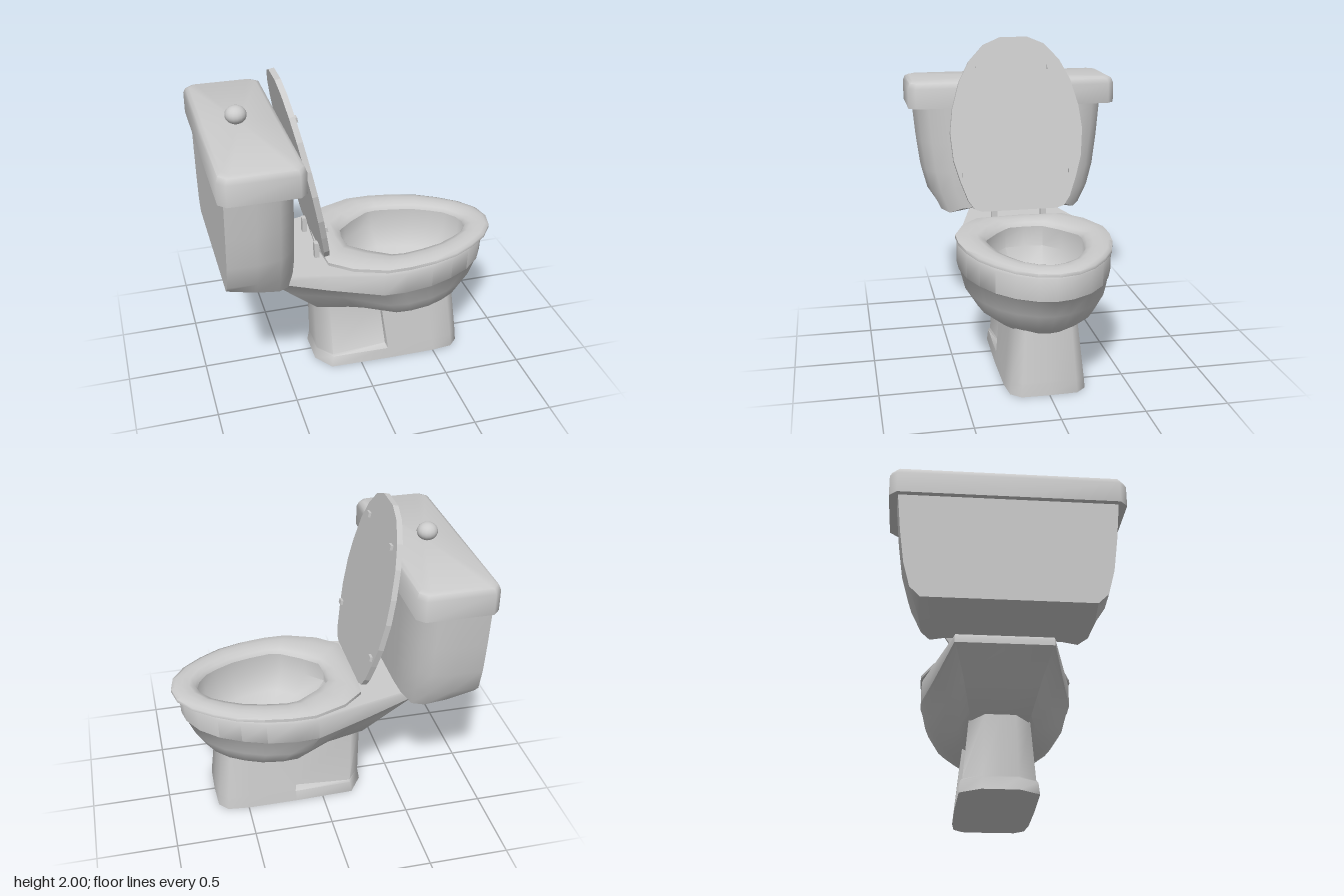
import * as THREE from 'three';
import { toCreasedNormals } from 'three/addons/utils/BufferGeometryUtils.js';

const material = new THREE.MeshStandardMaterial({ color: 0xcccccc });

// Full ring (counter-clockwise from above) from half an outline of [x, z]; first and last have z = 0
function ring(half, y) {
  const height = typeof y === 'function' ? y : () => y;
  const pts = half.map(([x, z]) => [x, height(x), -z]);
  const mirrored = half.slice(1, -1).reverse().map(([x, z]) => [x, height(x), z]);
  return [...pts, ...mirrored];
}

// Skin a stack of equal rings; caps are fans to the ring centre
function loft(rings, { caps = true, crease = 0.7 } = {}) {
  const n = rings[0].length;
  const pos = rings.flat(2);
  const index = [];
  for (let r = 0; r < rings.length - 1; r++) {
    for (let i = 0; i < n; i++) {
      const a = r * n + i, b = r * n + (i + 1) % n;
      index.push(a, b, b + n, a, b + n, a + n);
    }
  }
  const cap = (r, flip) => {
    const c = pos.length / 3;
    for (let k = 0; k < 3; k++) pos.push(rings[r].reduce((s, p) => s + p[k], 0) / n);
    for (let i = 0; i < n; i++) {
      const a = r * n + i, b = r * n + (i + 1) % n;
      index.push(c, ...(flip ? [b, a] : [a, b]));
    }
  };
  if (caps) {
    cap(0, true);
    cap(rings.length - 1, false);
  }
  const geo = new THREE.BufferGeometry();
  geo.setAttribute('position', new THREE.Float32BufferAttribute(pos, 3));
  geo.setIndex(index);
  return toCreasedNormals(geo, crease);
}

// Remap an outline to a new x range and width
function fit(half, xMin, xMax, zScale) {
  const xs = half.map(p => p[0]);
  const lo = Math.min(...xs), hi = Math.max(...xs);
  return half.map(([x, z]) => [xMin + (x - lo) / (hi - lo) * (xMax - xMin), z * zScale]);
}

const mix = (a, b, t) => a.map(([x, z], i) => [x + (b[i][0] - x) * t, z + (b[i][1] - z) * t]);
const ramp = (x0, y0, x1, y1) => x => y0 + (y1 - y0) * THREE.MathUtils.clamp((x - x0) / (x1 - x0), 0, 1);

function part(parent, name, geo, x = 0, y = 0, z = 0) {
  const mesh = new THREE.Mesh(geo, material);
  mesh.name = name;
  mesh.position.set(x, y, z);
  parent.add(mesh);
}

// Half outlines, front to back
const RIM = [[0.88, 0], [0.86, 0.1], [0.79, 0.22], [0.68, 0.32], [0.55, 0.39], [0.4, 0.445],
  [0.22, 0.47], [0.08, 0.465], [-0.25, 0.38], [-0.6, 0.29], [-0.6, 0]];
const SEAT = [[0.925, 0], [0.9, 0.12], [0.82, 0.23], [0.7, 0.325], [0.57, 0.4], [0.41, 0.45],
  [0.25, 0.475], [0.1, 0.475], [-0.1, 0.4], [-0.23, 0.29], [-0.25, 0]];
const HOLE = [[0.76, 0], [0.74, 0.07], [0.68, 0.15], [0.6, 0.2], [0.5, 0.25], [0.38, 0.28],
  [0.25, 0.3], [0.18, 0.29], [0.05, 0.2], [-0.05, 0.11], [-0.06, 0]];

function makeBowl() {
  const seam = ramp(-0.6, 0.76, 0, 0.66);
  // Underside ring, drawn in toward the rear
  const under = (xMin, xMax, zScale, rear, y) =>
    ring(fit(RIM, xMin, xMax, zScale).map(([x, z], i) => [x, i > 7 ? z * rear : z]), y);
  return loft([
    under(0.1, 0.58, 0.42, 1, 0.35),
    under(-0.12, 0.665, 0.6, 0.9, ramp(-0.12, 0.415, 0.25, 0.385)),
    under(-0.28, 0.75, 0.78, 0.8, ramp(-0.28, 0.455, 0.3, 0.445)),
    under(-0.45, 0.815, 0.93, 0.85, ramp(-0.45, 0.615, 0.2, 0.55)),
    under(-0.59, 0.862, 0.985, 0.98, x => seam(x) - 0.004),
    // rim band and shelf
    ring(fit(RIM, -0.6, 0.872, 1), x => seam(x) + 0.004),
    ring(RIM, 0.8),
    ring(fit(RIM, -0.595, 0.87, 0.985), 0.815),
    // wide basin, its lip hidden below the seat
    ring(fit(HOLE, -0.1, 0.79, 1.12), 0.815),
    ring(fit(HOLE, -0.1, 0.78, 1.12), 0.68),
    ring(fit(HOLE, 0, 0.69, 0.92), 0.55),
    ring(fit(HOLE, 0.13, 0.55, 0.5), 0.47),
  ], { crease: 0.75 });
}

function makePedestal() {
  const foot = [[0.695, 0], [0.69, 0.17], [0.635, 0.23], [0.5, 0.245], [0.18, 0.245], [0.175, 0.245],
    [-0.2, 0.235], [-0.285, 0.11], [-0.285, 0]];
  // Shallow side recess, deepest at its front step and fading toward the rear
  const recess = half => half.map(([x, z], i) => [x, i === 5 ? z * 0.78 : i === 6 ? z * 0.95 : z]);
  const upper = fit(foot, -0.28, 0.655, 0.82).map(([x, z], i) => [i === 4 || i === 5 ? 0.14 : x, z]);
  return loft([
    ring(foot, 0),
    ring(fit(foot, -0.272, 0.69, 0.97), 0.075),
    ring(recess(fit(foot, -0.272, 0.689, 0.965)), 0.085),
    ring(recess(upper), ramp(-0.28, 0.455, 0.14, 0.42)),
  ], { crease: 1.15 });
}

function makeTank() {
  const plan = [[-0.455, 0], [-0.457, 0.3], [-0.468, 0.45], [-0.515, 0.56], [-0.58, 0.625], [-0.72, 0.648],
    [-0.895, 0.64], [-0.895, 0]];
  const base = x => (x < -0.515 ? ramp(-0.895, 0.89, -0.515, 0.812)(x) : ramp(-0.515, 0.812, -0.455, 0.86)(x));
  const level = (y, w) => ring(fit(plan, -0.895, -0.455, w), y);
  return loft([level(base, 0.77), level(0.95, 0.865), level(1.1, 0.925), level(1.3, 0.965), level(1.55, 1)],
    { crease: 0.9 });
}

function makeTankLid() {
  const layer = (y, inset) => {
    const f = -0.432 - inset, b = -0.927 + inset, w = 0.692 - inset, c = 0.045;
    return ring([[f, 0], [f, w - c], [f - c, w], [b + c, w], [b, w - c], [b, 0]], y);
  };
  return loft([layer(1.545, 0), layer(1.675, 0), layer(1.708, 0.012), layer(1.72, 0.035)], { crease: 0.9 });
}

// Rounded seat: section runs from the inner lip under, around the rim and back over the top
function makeSeat() {
  const section = [[1, 0.825], [0, 0.828], [0, 0.848], [0.15, 0.858], [0.4, 0.866], [0.7, 0.862], [0.92, 0.85], [1, 0.825]];
  return loft(section.map(([t, y]) => ring(mix(SEAT, HOLE, t), y)), { caps: false, crease: 1.2 });
}

function makeCover() {
  const cover = new THREE.Group();
  cover.name = 'raisedSeatCover';
  const half = [[0.25, 0], [0.3, 0.017], [0.34, 0.075], [0.385, 0.2], [0.425, 0.34], [0.44, 0.52], [0.42, 0.675],
    [0.37, 0.846], [0.3, 0.978], [0.2, 1.084], [0.09, 1.13]];
  const outline = [...half, ...half.map(([u, v]) => [-u, v]).reverse()];
  const shape = new THREE.Shape(outline.map(([u, v]) => new THREE.Vector2(u, v)));
  const panel = new THREE.ExtrudeGeometry(shape, { depth: 0.035, bevelEnabled: false });
  part(cover, 'coverPanel', panel.rotateY(Math.PI / 2));
  // Rubber stops on the inner face
  for (const side of [-1, 1]) {
    for (const [v, z] of [[0.93, 0.235], [0.245, 0.355]]) {
      part(cover, 'coverBumper', new THREE.BoxGeometry(0.024, 0.03, 0.04), 0.04, v, side * z);
    }
  }
  cover.position.set(-0.255, 0.885, 0);
  cover.rotation.z = 0.2;
  return cover;
}

export function createModel() {
  const model = new THREE.Group();
  model.name = 'toilet';
  part(model, 'pedestal', makePedestal());
  part(model, 'bowl', makeBowl());
  part(model, 'seat', makeSeat());
  part(model, 'tank', makeTank());
  part(model, 'tankLid', makeTankLid());
  part(model, 'flushKnob', new THREE.SphereGeometry(0.065, 16, 12).scale(1, 0.85, 1), -0.7, 1.768, -0.005);
  model.add(makeCover());
  // Hinges joining cover and seat
  for (const side of [-1, 1]) {
    part(model, 'hinge', new THREE.BoxGeometry(0.03, 0.1, 0.04), -0.275, 0.88, side * 0.165);
  }
  return model;
}
